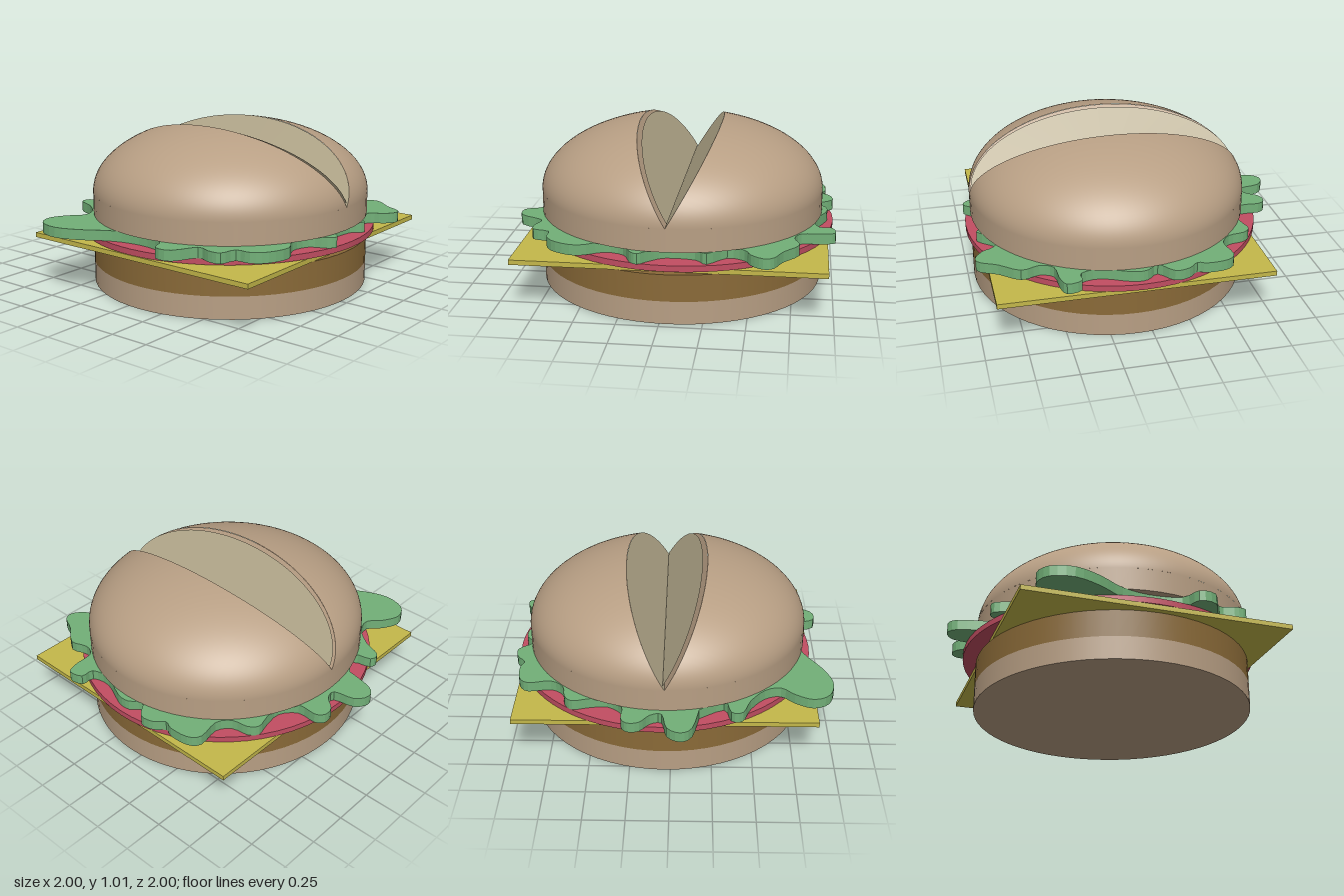
import * as THREE from 'three';

const CX = 0.035, CZ = 0.09;   // centre of the bun
const RX = 0.887, RZ = 0.87;   // bun radii
const SPLIT_Y = 0.58, DOME = 0.45;
const SPLIT = { x: 0.255, y: 0.43 }; // run and rise of each wall of the split

// Lettuce outline seen from above, x and z in pairs
const LEAF = [
  -0.17, -0.77, -0.13, -0.95, -0.06, -1.0, 0.02, -0.95, 0.05, -0.82, 0.12, -0.83, 0.18, -0.9, 0.25, -0.91,
  0.29, -0.86, 0.29, -0.74, 0.38, -0.66, 0.5, -0.67, 0.59, -0.69, 0.64, -0.64, 0.66, -0.54, 0.74, -0.48,
  0.88, -0.5, 0.94, -0.44, 0.95, -0.32, 0.93, -0.26, 0.98, -0.2, 0.99, -0.11, 0.9, -0.03, 0.95, 0.04,
  0.95, 0.13, 0.88, 0.3, 0.9, 0.42, 0.98, 0.43, 1.0, 0.52, 0.92, 0.55, 0.8, 0.56, 0.76, 0.64,
  0.79, 0.75, 0.7, 0.87, 0.65, 0.97, 0.59, 0.99, 0.52, 0.94, 0.48, 0.87, 0.38, 0.84, 0.27, 0.95,
  0.2, 0.89, 0.03, 0.88, -0.06, 0.94, -0.12, 0.995, -0.17, 0.96, -0.22, 0.86, -0.34, 0.83, -0.48, 0.9,
  -0.62, 0.86, -0.69, 0.78, -0.7, 0.69, -0.8, 0.66, -0.81, 0.58, -0.79, 0.49, -0.93, 0.41, -0.94, 0.3,
  -0.83, 0.24, -0.8, 0.05, -0.84, -0.13, -0.94, -0.3, -0.995, -0.46, -0.96, -0.6, -0.86, -0.65, -0.75, -0.6,
  -0.67, -0.53, -0.57, -0.56, -0.48, -0.67, -0.43, -0.79, -0.36, -0.79, -0.32, -0.68,
];

const mat = (color, side = THREE.FrontSide) =>
  new THREE.MeshStandardMaterial({ color, side });

export function createModel() {
  const group = new THREE.Group();
  const bun = mat(0xb89f84);
  const bunWall = mat(0xb89f84, THREE.DoubleSide);
  const crumb = mat(0xb5aa8c, THREE.DoubleSide);

  const add = (name, geometry, material, x = 0, y = 0, z = 0) => {
    const mesh = new THREE.Mesh(geometry, material);
    mesh.name = name;
    mesh.position.set(x, y, z);
    group.add(mesh);
    return mesh;
  };
  // Round layer between two heights
  const layer = (name, material, y0, y1, rx = RX, rz = RZ, x = CX, z = CZ) =>
    add(name, new THREE.CylinderGeometry(1, 1, y1 - y0, 64).scale(rx, 1, rz), material, x, (y0 + y1) / 2, z);

  // Stack of flat layers
  layer('bottomBun', bun, 0, 0.14);
  layer('patty', mat(0x8a6a38), 0.14, 0.305);
  add('cheeseSlice', new THREE.BoxGeometry(1.85, 0.03, 1.66), mat(0xc4b84a), CX, 0.32, 0.085);
  layer('tomatoSlice', mat(0xc24e62), 0.338, 0.375, 0.943, 0.928, 0.05, 0.068);

  // Wavy lettuce leaf
  const points = [];
  for (let i = 0; i < LEAF.length; i += 2) points.push(new THREE.Vector2(LEAF[i], LEAF[i + 1]));
  const outline = new THREE.SplineCurve([...points, points[0]]).getPoints(points.length * 3);
  outline.pop();
  const leaf = new THREE.ExtrudeGeometry(new THREE.Shape(outline), { depth: 0.065, bevelEnabled: false });
  add('lettuce', leaf.rotateX(Math.PI / 2), mat(0x72b078), 0, 0.44, 0);

  // Top bun: straight base and a dome split in two along z
  layer('topBunBase', bun, 0.44, SPLIT_Y);
  const arc = Math.atan2(SPLIT.y / DOME, SPLIT.x / RX);
  const tilt = Math.atan2(SPLIT.x, SPLIT.y);
  const slant = Math.hypot(SPLIT.x, SPLIT.y);
  const halfDisc = (height, halfLength, angle) =>
    new THREE.CircleGeometry(1, 48, 0, Math.PI)
      .rotateY(Math.PI / 2).scale(1, height, halfLength).rotateZ(angle);

  for (const side of [1, -1]) {
    const start = side > 0 ? Math.PI : 2 * Math.PI - arc;
    const dome = new THREE.SphereGeometry(1, 28, 48, start, arc)
      .rotateX(Math.PI / 2).scale(RX, DOME, RZ);
    const label = side > 0 ? 'left' : 'right';
    add(label + 'DomeHalf', dome, bun, CX, SPLIT_Y, CZ);
    add(label + 'SplitWall', halfDisc(slant, RZ, -side * tilt), side > 0 ? crumb : bunWall, CX, SPLIT_Y, CZ);
  }
  // Loose crumb sheet standing just off the split wall
  add('crumbSheet', halfDisc(0.46, 0.86, tilt), crumb, 0.045, 0.605, CZ);

  return group;
}
